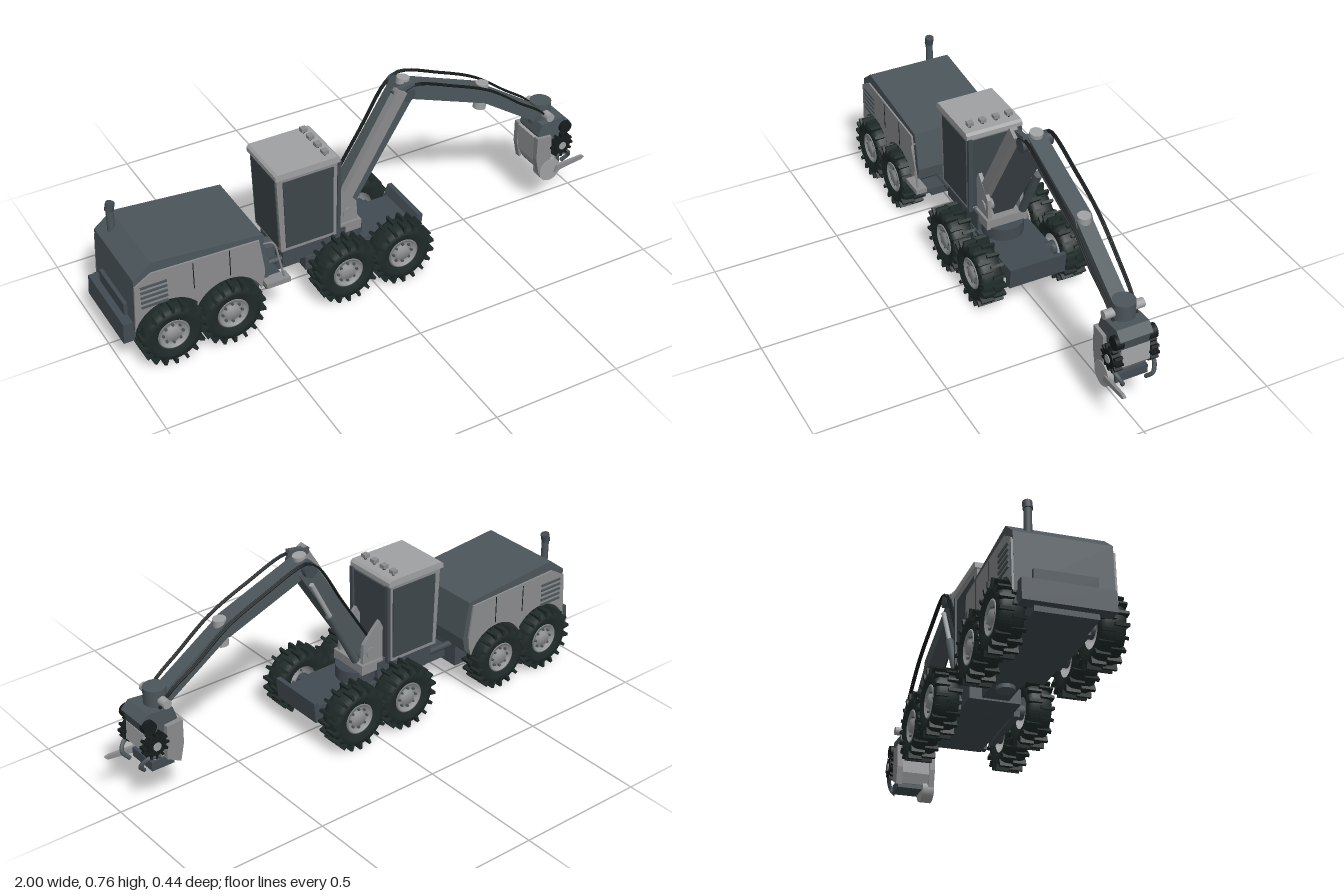
import * as THREE from 'three';

const mat = (name, color, side = THREE.FrontSide) => {
  const m = new THREE.MeshStandardMaterial({ color, side });
  m.name = name;
  return m;
};

export function createModel() {
  const model = new THREE.Group();
  model.name = 'forestryHarvester';
  const grey = mat('panelGrey', 0x8b8c8e);
  const pale = mat('metalGrey', 0x9fa1a3);
  const slate = mat('slate', 0x4c565b);
  const frame = mat('frameDark', 0x424b52);
  const glass = mat('tintedGlass', 0x3d464a);
  const rubber = mat('rubber', 0x1f2a28);
  const black = mat('black', 0x161b1c);

  const add = (name, geo, m, parent = model) => {
    const mesh = new THREE.Mesh(geo, m);
    mesh.name = name;
    parent.add(mesh);
    return mesh;
  };
  // box given by its extents
  const box = (name, x0, x1, y0, y1, z0, z1, m, parent) => {
    const b = add(name, new THREE.BoxGeometry(x1 - x0, y1 - y0, z1 - z0), m, parent);
    b.position.set((x0 + x1) / 2, (y0 + y1) / 2, (z0 + z1) / 2);
    return b;
  };
  // side profile in x,y extruded between z0 and z1
  const plate = (name, shape, z0, z1, m, parent) => {
    const s = Array.isArray(shape) ? new THREE.Shape(shape.map(p => new THREE.Vector2(...p))) : shape;
    const g = new THREE.ExtrudeGeometry(s, { depth: z1 - z0, bevelEnabled: false, curveSegments: 16 });
    return add(name, g.translate(0, 0, z0), m, parent);
  };
  // box running from a to b in the x,y plane
  const beam = (name, a, b, h, z0, z1, m, parent) => {
    const dx = b[0] - a[0], dy = b[1] - a[1];
    const k = add(name, new THREE.BoxGeometry(Math.hypot(dx, dy), h, z1 - z0), m, parent);
    k.position.set((a[0] + b[0]) / 2, (a[1] + b[1]) / 2, (z0 + z1) / 2);
    k.rotation.z = Math.atan2(dy, dx);
    return k;
  };
  // round rod between two points
  const rod = (name, a, b, r, m, parent, seg = 16) => {
    const A = new THREE.Vector3(...a), B = new THREE.Vector3(...b), d = B.clone().sub(A);
    const k = add(name, new THREE.CylinderGeometry(r, r, d.length(), seg), m, parent);
    k.position.copy(A).add(B).multiplyScalar(0.5);
    k.quaternion.setFromUnitVectors(new THREE.Vector3(0, 1, 0), d.normalize());
    return k;
  };
  const hose = (name, pts, r, m, parent) => add(name, new THREE.TubeGeometry(
    new THREE.CatmullRomCurve3(pts.map(p => new THREE.Vector3(...p))), 40, r, 6), m, parent);

  // ---- wheels, with the axle along z and the outer face on +z ----
  const tyreGeo = new THREE.LatheGeometry([[0.058, -0.036], [0.085, -0.046], [0.106, -0.043], [0.114, -0.028],
    [0.116, 0], [0.114, 0.028], [0.106, 0.043], [0.085, 0.046], [0.058, 0.036]]
    .map(p => new THREE.Vector2(...p)), 40).rotateX(Math.PI / 2);
  const rimGeo = new THREE.LatheGeometry([[0.061, -0.036], [0.061, 0.038], [0.054, 0.041], [0.048, 0.028],
    [0.028, 0.026], [0.026, 0.04], [0, 0.04]].map(p => new THREE.Vector2(...p)), 32)
    .rotateX(Math.PI / 2);
  const rim = mat('rimGrey', 0x8f9193, THREE.DoubleSide);
  const lugGeo = new THREE.BoxGeometry(0.026, 0.011, 0.05);
  const boltGeo = new THREE.CylinderGeometry(0.005, 0.005, 0.012, 6).rotateX(Math.PI / 2);
  for (const x of [-0.83, -0.6, -0.133, 0.1]) {
    rod('axle', [x, 0.13, -0.14], [x, 0.13, 0.14], 0.028, frame);
    for (const s of [1, -1]) {
      const w = new THREE.Group();
      w.name = 'wheel';
      w.position.set(x, 0.128, s * 0.17);
      if (s < 0) w.rotation.y = Math.PI;
      add('tyre', tyreGeo, rubber, w);
      add('rim', rimGeo, rim, w);
      for (let i = 0; i < 36; i++) {
        const a = i * Math.PI / 18, side = i % 2 ? 1 : -1;
        const lug = add('treadLug', lugGeo, rubber, w);
        lug.position.set(Math.cos(a) * 0.114, Math.sin(a) * 0.114, side * 0.0225);
        lug.rotation.z = a;
      }
      for (let i = 0; i < 8; i++) {
        const a = i * Math.PI / 4;
        add('wheelBolt', boltGeo, slate, w).position.set(Math.cos(a) * 0.038, Math.sin(a) * 0.038, 0.03);
      }
      model.add(w);
    }
  }

  // ---- chassis ----
  box('rearFrame', -0.97, -0.45, 0.1, 0.25, -0.11, 0.11, frame);
  plate('rearBumper', [[-1, 0.12], [-0.95, 0.12], [-0.95, 0.2], [-0.995, 0.2]], -0.16, 0.16, frame);
  box('hitchBeam', -0.46, -0.2, 0.115, 0.17, -0.05, 0.05, frame);
  rod('articulationPin', [-0.36, 0.1, 0], [-0.36, 0.215, 0], 0.035, slate);
  for (const s of [1, -1]) {
    rod('steeringCylinder', [-0.46, 0.185, s * 0.075], [-0.22, 0.185, s * 0.075], 0.013, frame);
    box('bogieArm', -0.16, 0.13, 0.1, 0.155, s * 0.11 - 0.012, s * 0.11 + 0.012, frame);
    box('rearBogieArm', -0.86, -0.57, 0.1, 0.155, s * 0.112 - 0.01, s * 0.112 + 0.01, frame);
  }
  box('frontFrame', -0.25, 0.22, 0.108, 0.165, -0.095, 0.095, frame);
  plate('frontBumper', [[0.2, 0.115], [0.23, 0.115], [0.238, 0.2], [0.22, 0.2], [0.2, 0.15]], -0.115, 0.115, frame);

  // ---- engine body with wheel arches ----
  const bodyShape = (top, x0, x1) => {
    const s = new THREE.Shape();
    s.moveTo(x0, 0.17);
    for (const x of [-0.83, -0.6]) {
      const half = Math.acos(0.042 / 0.136);
      s.absarc(x, 0.128, 0.136, Math.PI / 2 + half, Math.PI / 2 - half, true);
    }
    s.lineTo(x1, 0.2);
    top.forEach(p => s.lineTo(...p));
    s.closePath();
    return s;
  };
  plate('engineHood', bodyShape([[-0.432, 0.25], [-0.457, 0.402], [-0.88, 0.44], [-0.95, 0.385]], -0.984, -0.442),
    -0.171, 0.171, slate);
  for (const s of [1, -1]) {
    const z = s * 0.174;
    plate('sidePanel', bodyShape([[-0.455, 0.25], [-0.474, 0.385], [-0.885, 0.4], [-0.95, 0.36]], -0.976, -0.46),
      z - 0.004, z + 0.004, grey);
    for (let i = 0; i < 5; i++)
      box('louvre', -0.93, -0.83, 0.262 + i * 0.021, 0.271 + i * 0.021, s * 0.179 - 0.003, s * 0.179 + 0.003, slate);
    for (const x of [-0.73, -0.59])
      box('panelSeam', x - 0.0015, x + 0.0015, 0.275, 0.385, s * 0.1775 - 0.002, s * 0.1775 + 0.002, black);
  }
  rod('exhaustPipe', [-0.91, 0.4, -0.105], [-0.91, 0.505, -0.105], 0.014, slate);
  rod('exhaustTip', [-0.912, 0.495, -0.105], [-0.905, 0.525, -0.105], 0.017, frame);

  // access step and handrail
  box('accessStep', -0.465, -0.37, 0.185, 0.205, 0.165, 0.21, grey);
  box('stepBracket', -0.46, -0.38, 0.17, 0.187, 0.05, 0.19, frame);
  hose('handrail', [[-0.455, 0.36, 0.172], [-0.43, 0.37, 0.195], [-0.405, 0.28, 0.195], [-0.388, 0.2, 0.195]], 0.004, grey);

  // ---- cab ----
  box('cabFloor', -0.34, -0.08, 0.165, 0.24, -0.09, 0.09, frame);
  plate('cabShell', [[-0.352, 0.235], [-0.125, 0.235], [-0.117, 0.56], [-0.364, 0.56]], -0.104, 0.104, grey);
  for (const s of [1, -1]) {
    plate('sideWindow', [[-0.333, 0.25], [-0.14, 0.25], [-0.136, 0.54], [-0.34, 0.54]], s * 0.1045 - 0.003, s * 0.1045 + 0.003, glass);
    beam('frontPillar', [-0.119, 0.235], [-0.112, 0.56], 0.014, s * 0.102 - 0.008, s * 0.102 + 0.008, frame);
  }
  beam('windscreen', [-0.123, 0.25], [-0.116, 0.55], 0.008, -0.092, 0.092, glass);
  beam('rearWindow', [-0.353, 0.25], [-0.363, 0.55], 0.008, -0.092, 0.092, glass);
  plate('cabRoof', [[-0.371, 0.558], [-0.112, 0.558], [-0.112, 0.575], [-0.122, 0.584], [-0.362, 0.584], [-0.371, 0.575]],
    -0.114, 0.114, pale);
  for (const z of [-0.08, -0.028, 0.028, 0.08]) {
    box('roofLamp', -0.169, -0.146, 0.592, 0.606, z - 0.012, z + 0.012, grey);
    rod('lampPost', [-0.157, 0.58, z], [-0.157, 0.595, z], 0.005, black);
  }

  // ---- crane ----
  const crane = new THREE.Group();
  crane.name = 'crane';
  model.add(crane);
  rod('slewRing', [-0.05, 0.16, 0], [-0.05, 0.215, 0], 0.08, frame, crane, 28);
  box('slewBase', -0.11, -0.01, 0.21, 0.25, -0.085, 0.085, grey, crane);
  for (const z of [-0.075, 0.06])
    plate('boomBracket', [[-0.115, 0.24], [-0.02, 0.24], [-0.025, 0.33], [-0.07, 0.38], [-0.1, 0.41], [-0.115, 0.38]],
      z, z + 0.015, grey, crane);
  beam('mainBoom', [-0.07, 0.27], [0.21, 0.715], 0.07, -0.04, 0.04, slate, crane);
  beam('boomLink', [-0.085, 0.32], [0.165, 0.742], 0.045, 0.044, 0.074, grey, crane);
  rod('boomPivot', [-0.06, 0.29, -0.08], [-0.06, 0.29, 0.08], 0.022, grey, crane);
  rod('liftCylinder', [0, 0.27, -0.058], [0.12, 0.5, -0.058], 0.016, slate, crane);
  rod('liftRod', [0.12, 0.5, -0.058], [0.2, 0.655, -0.058], 0.009, pale, crane);
  rod('elbowPin', [0.2, 0.71, -0.06], [0.2, 0.71, 0.06], 0.028, frame, crane);
  beam('elbowLink', [0.135, 0.73], [0.225, 0.745], 0.025, 0.04, 0.06, slate, crane);
  plate('middleBoom', [[0.185, 0.69], [0.2, 0.745], [0.55, 0.612], [0.565, 0.58], [0.54, 0.552], [0.24, 0.665]],
    -0.033, 0.033, slate, crane);
  rod('elbowCap', [0.2, 0.69, 0], [0.21, 0.753, 0], 0.025, pale, crane);
  rod('wristCap', [0.548, 0.515, 0], [0.556, 0.62, 0], 0.025, pale, crane);
  beam('outerBoom', [0.54, 0.585], [0.8, 0.41], 0.052, -0.029, 0.029, slate, crane);
  beam('boomTip', [0.77, 0.43], [0.86, 0.36], 0.038, -0.023, 0.023, frame, crane);
  for (const z of [-0.058, -0.05, 0.05, 0.057])
    hose('hydraulicHose', [[-0.06, 0.35, z], [0.06, 0.54, z], [0.17, 0.715, z], [0.22, 0.742, z],
      [0.4, 0.683, z], [0.56, 0.612, z], [0.7, 0.51, z], [0.8, 0.44, z * 0.9], [0.85, 0.38, z * 0.8]], 0.004, black, crane);

  // ---- felling head ----
  const head = new THREE.Group();
  head.name = 'fellingHead';
  model.add(head);
  rod('rotator', [0.83, 0.36, 0], [0.832, 0.455, 0], 0.042, slate, head, 24);
  rod('rotatorPin', [0.83, 0.415, -0.077], [0.83, 0.415, 0.077], 0.017, pale, head);
  plate('headTop', [[0.785, 0.34], [0.8, 0.385], [0.9, 0.395], [0.93, 0.365], [0.915, 0.31], [0.8, 0.3]], -0.06, 0.066, slate, head);
  plate('headBody', [[0.775, 0.33], [0.92, 0.32], [0.925, 0.25], [0.88, 0.195], [0.8, 0.18], [0.78, 0.22]], -0.055, 0.055, pale, head);
  for (const s of [1, -1]) {
    plate('headSide', [[0.775, 0.335], [0.84, 0.33], [0.845, 0.2], [0.79, 0.17], [0.775, 0.24]],
      s * 0.067 - 0.012, s * 0.067 + 0.012, grey, head);
    const roller = new THREE.Group();
    roller.name = 'feedRoller';
    roller.position.set(0.888, 0.275, s * 0.07);
    head.add(roller);
    add('rollerDrum', new THREE.CylinderGeometry(0.036, 0.036, 0.036, 20).rotateX(Math.PI / 2), black, roller);
    add('rollerHub', new THREE.CylinderGeometry(0.016, 0.016, 0.042, 16).rotateX(Math.PI / 2), pale, roller);
    for (let i = 0; i < 12; i++) {
      const a = i * Math.PI / 6;
      const spike = add('rollerSpike', new THREE.BoxGeometry(0.02, 0.009, 0.03), black, roller);
      spike.position.set(Math.cos(a) * 0.041, Math.sin(a) * 0.041, 0);
      spike.rotation.z = a;
    }
    rod('rollerMotor', [0.905, 0.35, s * 0.05], [0.905, 0.35, s * 0.08], 0.026, black, head);
    // curved gripping arms
    hose('grabArm', [[0.87, 0.225, s * 0.075], [0.92, 0.23, s * 0.075], [0.942, 0.2, s * 0.06], [0.92, 0.17, s * 0.045]], 0.008, slate, head);
  }
  rod('sawHousing', [0.842, 0.172, 0.035], [0.842, 0.172, 0.082], 0.048, pale, head, 28);
  box('sawMount', 0.81, 0.9, 0.165, 0.2, -0.065, 0.06, frame, head);
  plate('sawBar', [[0.86, 0.155], [0.9, 0.165], [0.99, 0.177], [1, 0.186], [0.985, 0.192], [0.87, 0.186]], 0.076, 0.088, grey, head);

  return model;
}
